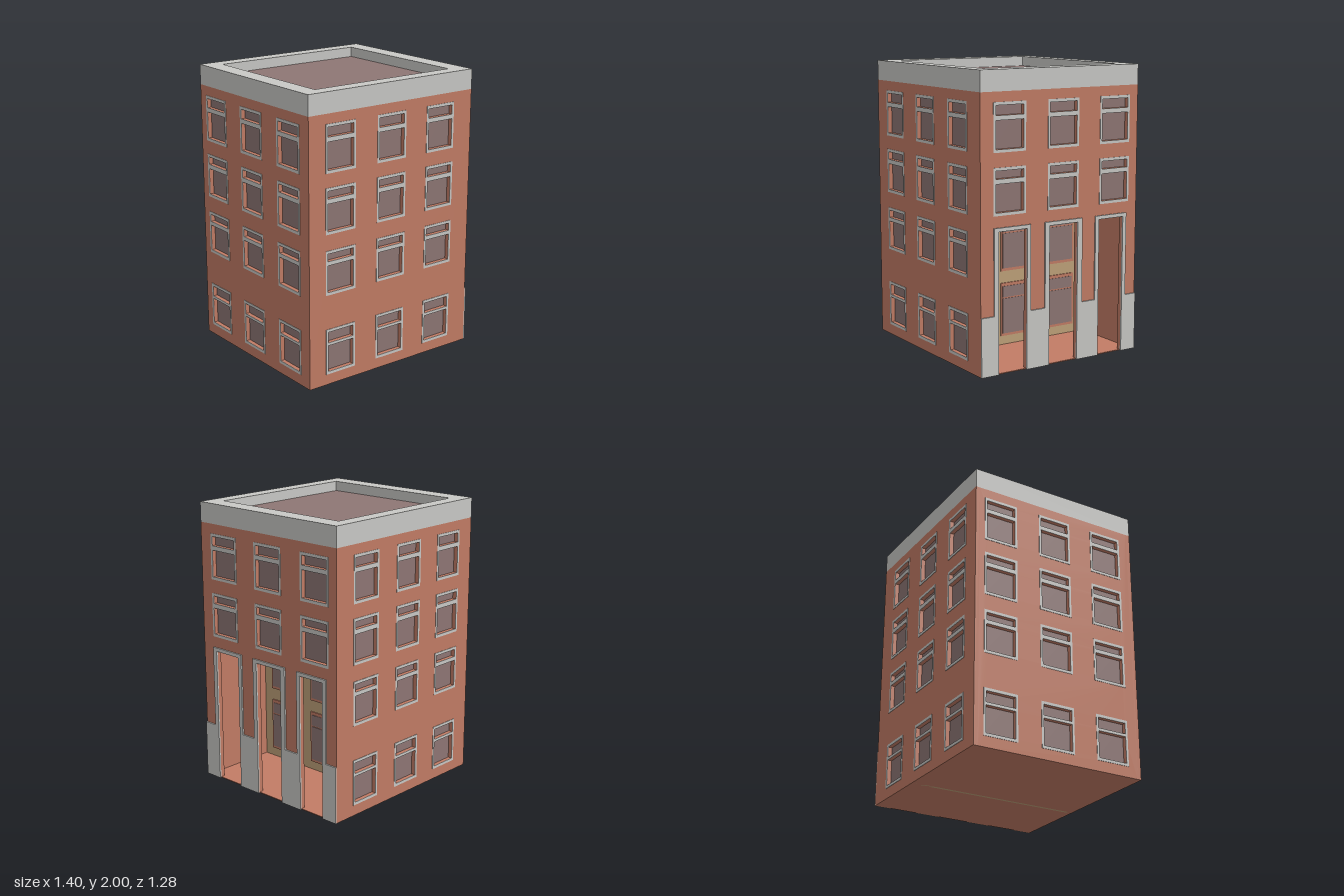
import * as THREE from 'three';

const mat = (name, color) => {
  const m = new THREE.MeshStandardMaterial({ color });
  m.name = name;
  return m;
};
const brick = mat('brick red', 0xc27c65);
const stone = mat('pale stone', 0xc9c9c6);
const glass = mat('mauve glass and roofing', 0x8e7674);
const wood = mat('tan wood', 0xc0a27a);

// Building extents
const X0 = -0.70, X1 = 0.687, Z = 0.635, CX = (X0 + X1) / 2;
const WALL = 0.03, EAVES = 1.86, PORCH_BACK = 0.135, PORCH_TOP = 0.957;

// Window rows: sill height, frame height, start of the upper pane
const ROWS = [[0.075, 0.323, 0.227], [0.64, 0.308, 0.235], [1.06, 0.313, 0.239], [1.47, 0.323, 0.238]];

// Doorways on the right side as [opening start, end, surround start, end]
const DOORS = [[-0.50, -0.28, -0.535, -0.25], [-0.10, 0.13, -0.135, 0.17], [0.31, 0.515, 0.28, 0.545]];

function add(group, name, geometry, material, x = 0, y = 0, z = 0) {
  const mesh = new THREE.Mesh(geometry, material);
  mesh.name = name;
  mesh.position.set(x, y, z);
  group.add(mesh);
  return mesh;
}

// Box given by its minimum and maximum corners
function block(group, name, material, a, b) {
  const size = a.map((v, i) => b[i] - v);
  const mid = a.map((v, i) => (v + b[i]) / 2);
  return add(group, name, new THREE.BoxGeometry(...size), material, ...mid);
}

const polygon = (pts) => new THREE.Shape(pts.map(([x, y]) => new THREE.Vector2(x, y)));
const rect = (x0, y0, x1, y1) => polygon([[x0, y0], [x1, y0], [x1, y1], [x0, y1]]);
const extrude = (shape, depth) => new THREE.ExtrudeGeometry(shape, { depth, bevelEnabled: false });

// Points along the ground from right to left, stepping up round each doorway
const doorNotches = () => [...DOORS].reverse().flatMap(([a, b]) =>
  [[b, 0], [b, PORCH_TOP], [a, PORCH_TOP], [a, 0]]);

// Wall in its own plane, outer face at local z = 0, with framed and recessed windows
function makeWall(name, u0, u1, columns, width, rows, hasDoors) {
  const wall = new THREE.Group();
  wall.name = name;
  const shape = polygon([[u0, 0], [u0, EAVES], [u1, EAVES], [u1, 0], ...(hasDoors ? doorNotches() : [])]);
  const h = width / 2, p = h - 0.017;
  for (const u of columns) {
    for (const [sill, height, upper] of rows) {
      const frame = rect(u - h, sill, u + h, sill + height);
      const panes = [[sill + 0.02, sill + 0.207], [sill + upper, sill + height - 0.02]];
      for (const [y0, y1] of panes) {
        shape.holes.push(rect(u - p, y0, u + p, y1));
        frame.holes.push(rect(u - p, y0, u + p, y1));
      }
      add(wall, 'windowFrame', extrude(frame, 0.003), stone);
      block(wall, 'windowGlass', glass, [u - h, sill, -WALL - 0.004], [u + h, sill + height, -WALL + 0.002]);
    }
  }
  add(wall, 'brickwork', extrude(shape, WALL), brick, 0, 0, -WALL);
  return wall;
}

// Stone plinth joined to the door surrounds
function addPlinth(wall) {
  const steps = DOORS.flatMap(([, , a, b]) => [[a, 0.4], [a, 0.982], [b, 0.982], [b, 0.4]]);
  const shape = polygon([[-Z, 0], [-Z, 0.4], ...steps, [Z, 0.4], [Z, 0], ...doorNotches()]);
  add(wall, 'doorSurrounds', extrude(shape, 0.01), stone);
}

// Deep porch behind the doorways, with a glazed wooden rear wall
function makePorch() {
  const porch = new THREE.Group();
  porch.name = 'porch';
  const front = X1 - WALL, end = 0.6;
  block(porch, 'porchCeiling', brick, [PORCH_BACK - 0.02, PORCH_TOP, -end], [front, PORCH_TOP + 0.02, end]);
  for (const s of [-1, 1]) {
    block(porch, 'porchEndWall', brick, [PORCH_BACK - 0.02, 0, s * end - 0.003], [front, PORCH_TOP, s * end + 0.001]);
  }
  block(porch, 'porchRearWall', wood, [PORCH_BACK - 0.02, 0, -end], [PORCH_BACK, PORCH_TOP, end]);
  for (const z of [0.285, -0.11, -0.505]) {
    for (const [y0, y1, panes] of [
      [0.07, 0.455, [[0.088, 0.343], [0.352, 0.432]]],
      [0.542, 0.925, [[0.562, 0.813], [0.822, 0.902]]],
    ]) {
      block(porch, 'shopWindowFrame', brick, [PORCH_BACK, y0, z], [PORCH_BACK + 0.008, y1, z + 0.235]);
      for (const [a, b] of panes) {
        block(porch, 'shopWindowGlass', glass, [PORCH_BACK + 0.004, a, z + 0.015], [PORCH_BACK + 0.011, b, z + 0.222]);
      }
    }
  }
  return porch;
}

export function createModel() {
  const model = new THREE.Group();
  model.name = 'cornerBuilding';

  const xCols = [-0.445, -0.02, 0.405], zCols = [0.412, -0.013, -0.44];
  const front = makeWall('frontWall', X0, X1, xCols, 0.243, ROWS);
  front.position.z = Z;
  const back = makeWall('backWall', -X1, -X0, xCols.map((x) => -x), 0.243, ROWS);
  back.position.z = -Z;
  back.rotation.y = Math.PI;
  const left = makeWall('plainSideWall', -Z + WALL, Z - WALL, zCols, 0.25, ROWS);
  left.position.x = X0;
  left.rotation.y = -Math.PI / 2;
  const right = makeWall('doorwaySideWall', -Z + WALL, Z - WALL, zCols.map((z) => -z), 0.25, ROWS.slice(2), true);
  right.position.x = X1;
  right.rotation.y = Math.PI / 2;
  addPlinth(right);
  model.add(front, back, left, right, makePorch());

  // Floor slab inside the walls
  block(model, 'floor', brick, [X0 + WALL, 0, -Z + WALL], [X1 - 0.001, 0.006, Z - WALL]);

  // Flat roof with a raised stone parapet
  const rim = rect(X0, -Z, X1, Z);
  rim.holes.push(rect(-0.575, -0.535, 0.56, 0.535));
  const parapet = add(model, 'parapet', extrude(rim, 2 - EAVES), stone, 0, EAVES, 0);
  parapet.rotation.x = -Math.PI / 2;
  block(model, 'roof', glass, [-0.58, 1.9, -0.54], [0.565, 1.93, 0.54]);
  return model;
}
